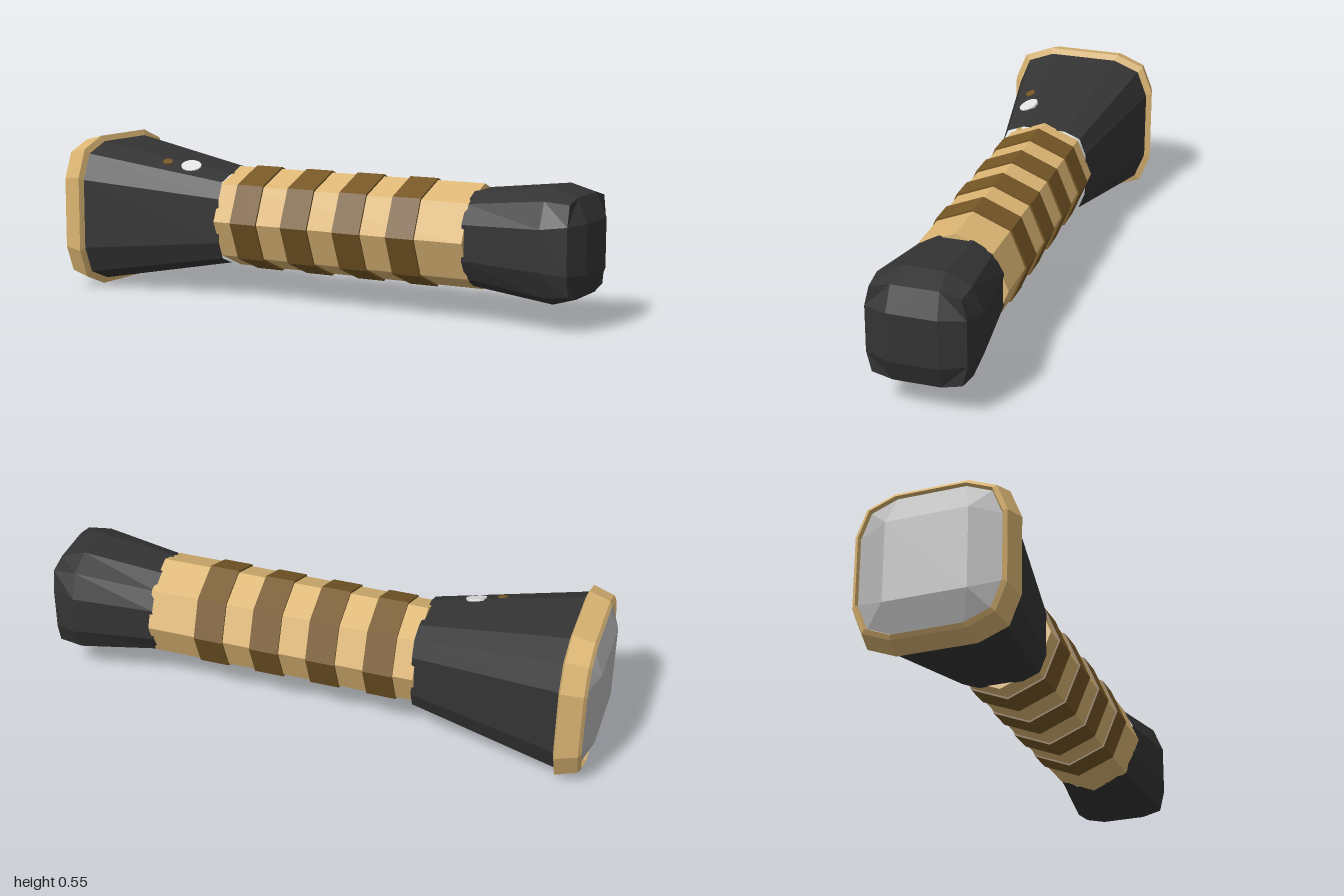
import * as THREE from 'three';

const AXIS_Y = 0.275;

function material(name, color) {
  const m = new THREE.MeshStandardMaterial({ color, flatShading: true });
  m.name = name;
  return m;
}

// Twelve-sided rounded square: r = half size, h = half of the flat, c = corner
function section(x, r, h = r * 0.49, c = r * 0.855) {
  return [[r, -h], [r, h], [c, c], [h, r], [-h, r], [-c, c],
    [-r, h], [-r, -h], [-c, -c], [-h, -r], [h, -r], [c, -c]]
    .map(([y, z]) => new THREE.Vector3(x, y, z));
}

function quad(out, a, b, c, d) {
  for (const p of [a, b, c, a, c, d]) out.push(p.x, p.y, p.z);
}

// Skin between neighbouring sections
function loft(out, sections) {
  for (let s = 0; s < sections.length - 1; s++) {
    const a = sections[s], b = sections[s + 1];
    for (let i = 0; i < 12; i++) {
      const j = (i + 1) % 12;
      quad(out, a[i], a[j], b[j], b[i]);
    }
  }
}

// Domed three-by-three end closing a section; side = +1 or -1 along x
function dome(out, ring, x, h, side) {
  const inner = [[h, h], [-h, h], [-h, -h], [h, -h]].map(([y, z]) => new THREE.Vector3(x, y, z));
  const face = (a, b, c, d) => (side > 0 ? quad(out, a, b, c, d) : quad(out, d, c, b, a));
  for (let k = 0; k < 4; k++) {
    const i = 3 * k;
    face(ring[i], ring[i + 1], inner[k], inner[(k + 3) % 4]);
    face(ring[i + 1], ring[i + 2], ring[(i + 3) % 12], inner[k]);
  }
  face(...inner);
}

export function createModel() {
  const black = material('black casing', 0x343434);
  const gold = material('gold', 0xdcb674);
  const brown = material('brown', 0x765726);
  const glass = material('lens grey', 0xb4b4b4);
  const white = material('button white', 0xe2e2e2);

  const model = new THREE.Group();
  model.name = 'flashlight';
  const body = new THREE.Group();
  body.name = 'body';
  body.position.y = AXIS_Y;
  model.add(body);

  const add = (name, geometry, mat) => {
    const mesh = new THREE.Mesh(geometry, mat);
    mesh.name = name;
    body.add(mesh);
    return mesh;
  };
  const addFaces = (name, positions, mat) => {
    const g = new THREE.BufferGeometry();
    g.setAttribute('position', new THREE.Float32BufferAttribute(positions, 3));
    g.computeVertexNormals();
    return add(name, g, mat);
  };

  // Flared head
  const headBack = section(-0.89, 0.256), headFront = section(-0.36, 0.16);
  const head = [];
  loft(head, [headBack, headFront]);
  addFaces('head', head, black);

  // Rim around the lens, with an inner lip
  const rim = [];
  loft(rim, [section(-0.95, 0.235), section(-0.975, 0.243), section(-0.965, 0.256),
    section(-0.89, 0.275), section(-0.88, 0.25)]);
  addFaces('rim', rim, gold);

  // Lens
  const lens = [];
  dome(lens, section(-0.962, 0.238), -1, 0.14, -1);
  addFaces('lens', lens, glass);

  // Octagonal grip with raised bands
  const tube = (name, x0, x1, r, mat) => {
    const g = new THREE.CylinderGeometry(r, r, x1 - x0, 8);
    g.rotateZ(Math.PI / 2);
    add(name, g, mat).position.x = (x0 + x1) / 2;
  };
  tube('grip', -0.37, 0.6, 0.18, gold);
  for (let i = 0; i < 4; i++) {
    const x = -0.298 + i * 0.206;
    tube('gripBand', x, x + 0.105, 0.187, brown);
  }

  // Tail with domed end
  const shoulder = section(0.88, 0.193, 0.07, 0.157);
  const tailEdge = section(0.965, 0.167, 0.08, 0.15);
  const tail = [];
  loft(tail, [section(0.59, 0.16, 0.06, 0.125), shoulder, tailEdge]);
  dome(tail, tailEdge, 1, 0.084, 1);
  addFaces('tail', tail, black);

  // Button and indicator lying on the upper front bevel of the head
  const [p, q, s] = [headBack[1], headBack[2], headFront[1]];
  const normal = q.clone().sub(p).cross(s.clone().sub(p)).normalize();
  const disc = (name, x, z, r, mat) => {
    const y = p.y - (normal.x * (x - p.x) + normal.z * (z - p.z)) / normal.y;
    const mesh = add(name, new THREE.CylinderGeometry(r, r, 0.008, 20), mat);
    mesh.position.set(x, y, z);
    mesh.quaternion.setFromUnitVectors(new THREE.Vector3(0, 1, 0), normal);
  };
  disc('button', -0.512, 0.105, 0.036, white);
  disc('indicator', -0.6, 0.125, 0.018, brown);

  return model;
}
